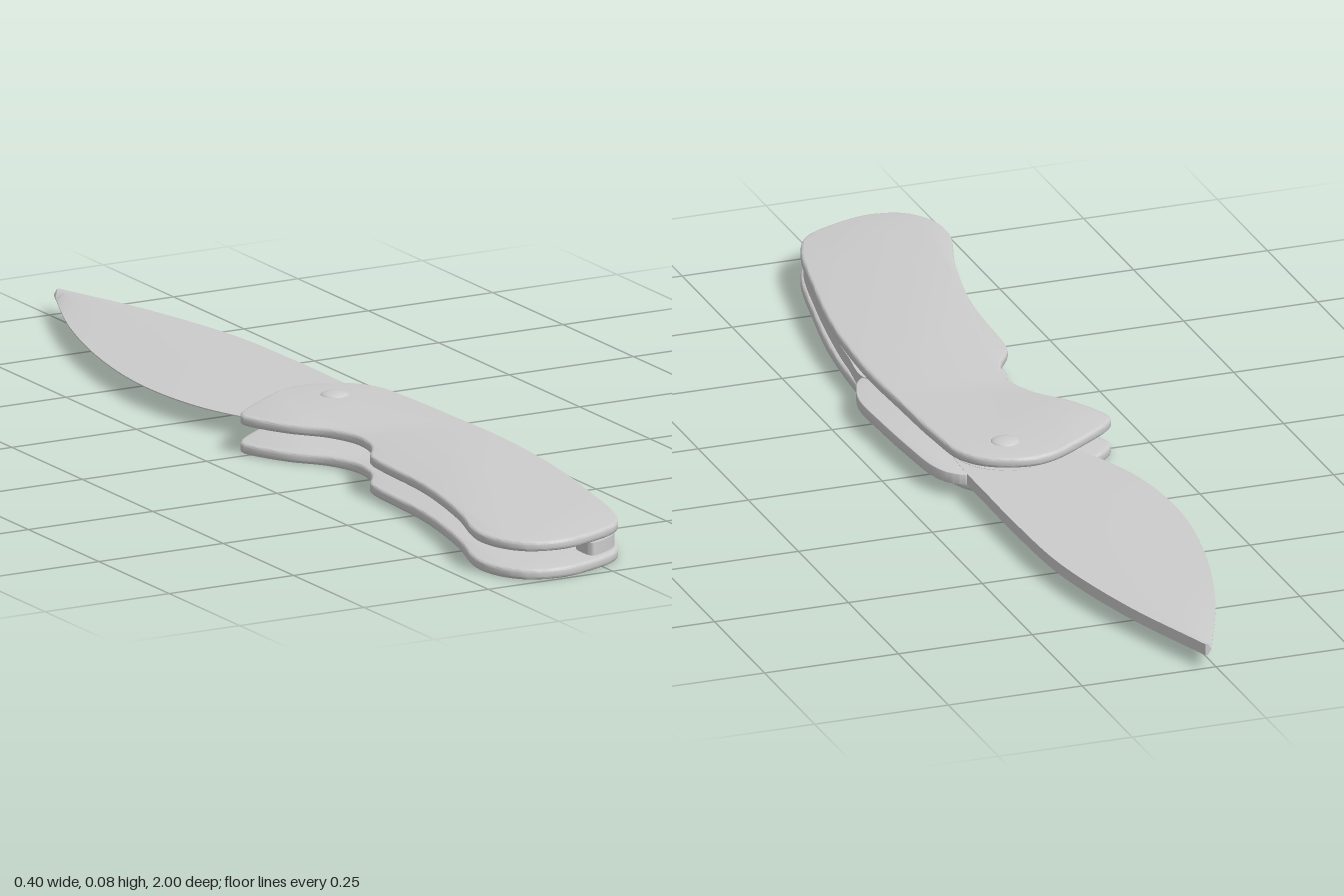
import * as THREE from 'three';
import { toCreasedNormals } from 'three/addons/utils/BufferGeometryUtils.js';

const material = new THREE.MeshStandardMaterial({ color: 0xcccccc });
const MID = 0.035; // height of the blade's centre plane

function add(group, name, geometry) {
  const mesh = new THREE.Mesh(geometry, material);
  mesh.name = name;
  group.add(mesh);
  return mesh;
}

// Smooth curve through [x, z] pairs
function smooth(points, closed, count) {
  const v = points.map(([x, z]) => new THREE.Vector3(x, 0, z));
  return new THREE.CatmullRomCurve3(v, closed, 'centripetal').getPoints(count);
}

// Flat plate with a smooth [x, z] outline, lying between heights y0 and y1
function plate(outline, y0, y1, bevel) {
  const pts = smooth(outline, true, 160).slice(0, -1);
  const shape = new THREE.Shape(pts.map((p) => new THREE.Vector2(p.x, -p.z)));
  const geo = new THREE.ExtrudeGeometry(shape, {
    depth: y1 - y0 - 2 * bevel, bevelEnabled: bevel > 0, bevelThickness: bevel,
    bevelSize: bevel, bevelOffset: -bevel, bevelSegments: 3,
  });
  geo.rotateX(-Math.PI / 2);
  geo.translate(0, y0 + bevel, 0);
  return toCreasedNormals(geo, 0.6);
}

// Wedge-ground blade lofted between its cutting edge and its spine
function bladeGeometry() {
  const zs = [-1, -0.79, -0.57, -0.38, -0.21, -0.09, 0];
  const edgeX = [0.009, -0.077, -0.137, -0.16, -0.144, -0.1, -0.05];
  const spineX = [0.02, 0.086, 0.129, 0.138, 0.138, 0.137, 0.13];
  const steps = 48;
  const edge = smooth(zs.map((z, i) => [edgeX[i], z]), false, steps);
  const spine = smooth(zs.map((z, i) => [spineX[i], z]), false, steps);
  const pos = [], index = [];
  for (let i = 0; i <= steps; i++) {
    const e = edge[i], s = spine[i];
    const section = [[0, -0.001], [0.6, -0.0105], [1, -0.0105], [1, 0.0105], [0.6, 0.0105], [0, 0.001]];
    for (const [t, y] of section) {
      pos.push(e.x + (s.x - e.x) * t, MID + y, e.z + (s.z - e.z) * t);
    }
  }
  for (let i = 0; i < steps; i++) {
    for (let j = 0; j < 6; j++) {
      const a = i * 6 + j, b = i * 6 + ((j + 1) % 6);
      index.push(a, b, b + 6, a, b + 6, a + 6);
    }
  }
  const last = steps * 6;
  for (let j = 1; j < 5; j++) {
    index.push(0, j + 1, j, last, last + j, last + j + 1);
  }
  const geo = new THREE.BufferGeometry();
  geo.setAttribute('position', new THREE.Float32BufferAttribute(pos, 3));
  geo.setIndex(index);
  return toCreasedNormals(geo, 0.5);
}

export function createModel() {
  const model = new THREE.Group();
  model.name = 'foldingKnife';

  // Two handle scales with a finger notch
  const scale = [
    [0.035, -0.147], [0.1, -0.122], [0.135, -0.075], [0.147, 0.02], [0.153, 0.18], [0.156, 0.34],
    [0.14, 0.55], [0.108, 0.73], [0.072, 0.885], [0.04, 0.942], [-0.03, 0.98], [-0.1, 0.997],
    [-0.16, 0.98], [-0.192, 0.935], [-0.2, 0.87], [-0.16, 0.73], [-0.125, 0.55], [-0.114, 0.36],
    [-0.108, 0.33], [-0.073, 0.27], [-0.063, 0.2], [-0.085, 0.135], [-0.132, 0.075],
    [-0.17, -0.012], [-0.162, -0.035], [-0.095, -0.09], [-0.015, -0.14],
  ];
  add(model, 'lowerHandleScale', plate(scale, 0, 0.019, 0.005));
  add(model, 'upperHandleScale', plate(scale, 0.051, 0.069, 0.005));

  // Spacer along the back of the handle
  const spacer = [
    [0.15, 0.345], [0.146, 0.45], [0.134, 0.55], [0.103, 0.73], [0.068, 0.88], [0.035, 0.938],
    [-0.02, 0.968], [-0.025, 0.964], [-0.025, 0.915], [-0.02, 0.908], [0.015, 0.86], [0.05, 0.7],
    [0.08, 0.53], [0.09, 0.35], [0.095, 0.342],
  ];
  add(model, 'backSpacer', plate(spacer, MID - 0.0115, MID + 0.0115, 0));

  // Lock lever standing out behind the handle
  const lever = [
    [0.137, -0.125], [0.165, -0.105], [0.181, -0.065], [0.19, 0.03], [0.196, 0.16], [0.197, 0.25],
    [0.188, 0.295], [0.165, 0.345], [0.15, 0.355], [0.1, 0.355], [0.093, 0.345], [0.09, 0.1],
    [0.1, -0.1],
  ];
  add(model, 'lockLever', plate(lever, MID - 0.01, MID + 0.01, 0.001));

  // Blade and the tang that turns on the pivot
  add(model, 'blade', bladeGeometry());
  const tang = [
    [0.04, -0.14], [0.105, -0.11], [0.13, -0.05], [0.12, 0.03], [0.05, 0.07], [-0.01, 0.03],
    [-0.02, -0.04], [-0.01, -0.1],
  ];
  add(model, 'bladeTang', plate(tang, MID - 0.011, MID + 0.011, 0));

  // Pivot pin with a domed head
  const pin = add(model, 'pivotPin', new THREE.CylinderGeometry(0.02, 0.02, 0.055, 24));
  pin.position.set(0.042, 0.038, -0.06);
  const head = add(model, 'pivotHead', new THREE.SphereGeometry(0.026, 24, 8, 0, Math.PI * 2, 0, Math.PI / 2));
  head.scale.y = 0.27;
  head.position.set(0.042, 0.068, -0.06);

  return model;
}
